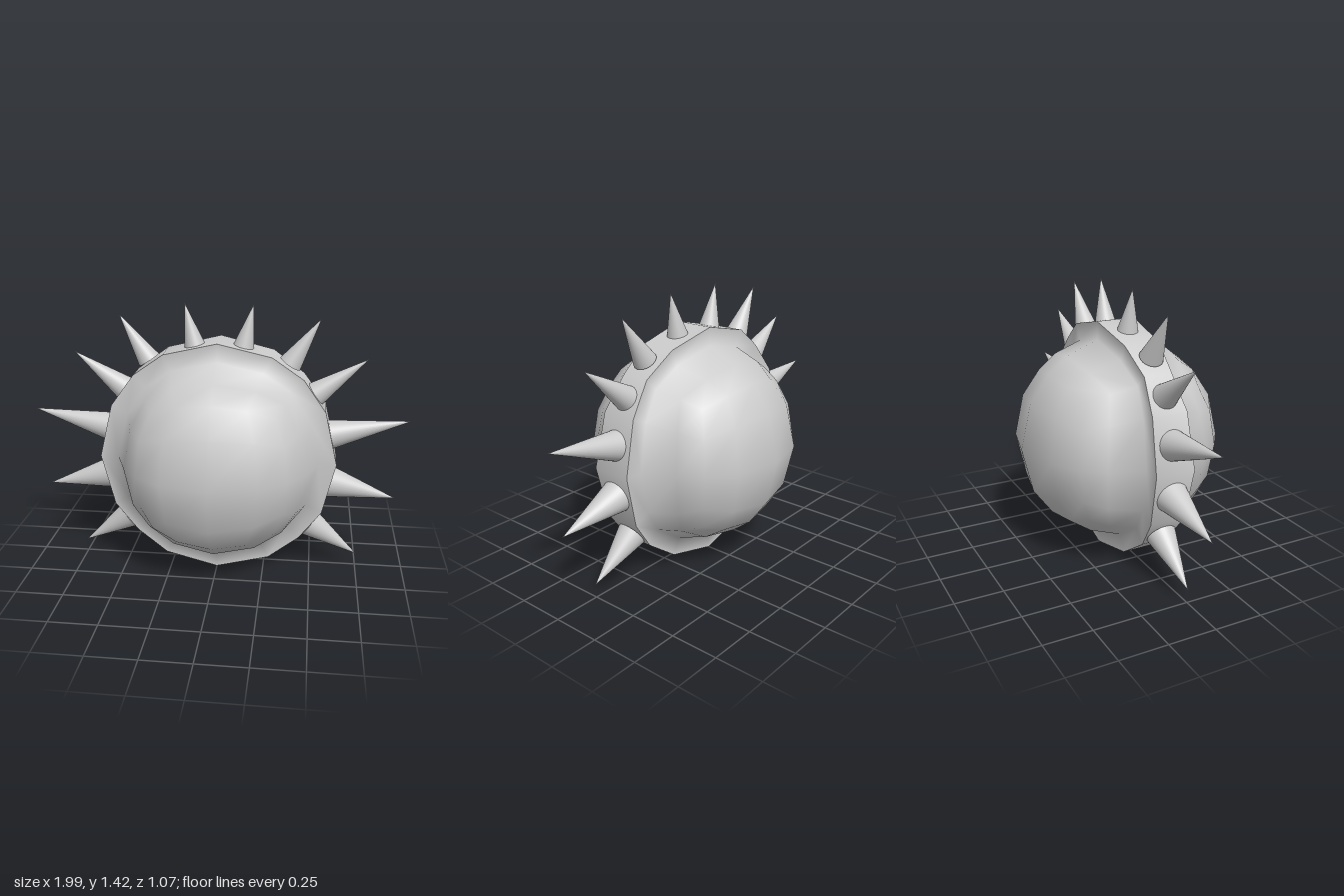
import * as THREE from 'three';
import { mergeVertices, mergeGeometries } from 'three/addons/utils/BufferGeometryUtils.js';

const R = 0.535, RIM = 0.62, CY = 0.625;
const material = new THREE.MeshStandardMaterial({ color: 0xcccccc, side: THREE.DoubleSide });

// Middle band of the ball, sampled at the sixteen cube-grid directions
const GRID = [[1, 0], [1, 0.5], [1, 1], [0.5, 1]];
const directions = [];
for (let q = 0; q < 4; q++) {
  for (const [a, b] of GRID) {
    let [x, y] = [a, b];
    for (let i = 0; i < q; i++) [x, y] = [-y, x];
    directions.push([x, y]);
  }
}

// Points of one loop: ball surface or raised rim, on the side sz = +1 or -1
function loop(sz, raised) {
  return directions.map(([x, y]) => {
    const p = new THREE.Vector3(x, y, 0.2 * sz).setLength(R);
    if (raised) {
      const k = RIM / Math.hypot(p.x, p.y);
      p.x *= k;
      p.y *= k;
    }
    return p;
  });
}

// Closed strip of quads between two loops
function strip(a, b) {
  const pos = [], index = [], n = a.length;
  for (const p of [...a, ...b]) pos.push(p.x, p.y, p.z);
  for (let i = 0; i < n; i++) {
    const j = (i + 1) % n;
    index.push(i, j, n + j, i, n + j, n + i);
  }
  const g = new THREE.BufferGeometry();
  g.setAttribute('position', new THREE.Float32BufferAttribute(pos, 3));
  g.setIndex(index);
  return g;
}

// Ball from a box grid pushed onto a sphere, joined smoothly to the rim walls
function ballGeometry() {
  const box = new THREE.BoxGeometry(2, 2, 2, 4, 4, 5);
  box.deleteAttribute('normal');
  box.deleteAttribute('uv');
  const pos = box.attributes.position, v = new THREE.Vector3();
  for (let i = 0; i < pos.count; i++) {
    v.fromBufferAttribute(pos, i).setLength(R);
    pos.setXYZ(i, v.x, v.y, v.z);
  }
  // Drop the middle strip, which the raised rim replaces
  const kept = [], idx = box.index.array;
  for (let i = 0; i < idx.length; i += 3) {
    const tri = [idx[i], idx[i + 1], idx[i + 2]];
    if (!tri.every((k) => Math.abs(pos.getZ(k)) < 0.11)) kept.push(...tri);
  }
  box.setIndex(kept);
  const front = strip(loop(1, true), loop(1, false));
  const back = strip(loop(-1, false), loop(-1, true));
  const g = mergeVertices(mergeGeometries([box, front, back]), 1e-4);
  g.computeVertexNormals();
  return g;
}

// Cone from a base centre to a tip
function spike(bx, by, tx, ty, radius) {
  const dir = new THREE.Vector3(tx - bx, ty - by, 0);
  const length = dir.length();
  const geo = new THREE.ConeGeometry(radius, length, 32);
  geo.translate(0, length / 2, 0);
  const mesh = new THREE.Mesh(geo, material);
  mesh.position.set(bx, by, 0.003);
  mesh.quaternion.setFromUnitVectors(new THREE.Vector3(0, 1, 0), dir.normalize());
  return mesh;
}

export function createModel() {
  const model = new THREE.Group();
  model.name = 'spikedBall';

  const ball = new THREE.Mesh(ballGeometry(), material);
  ball.name = 'ball';
  ball.position.y = CY;

  const bandGeo = strip(loop(-1, true), loop(1, true));
  bandGeo.computeVertexNormals();
  const band = new THREE.Mesh(bandGeo, material);
  band.name = 'rimBand';
  band.position.y = CY;
  model.add(ball, band);

  // Spikes on one side, mirrored: base x, y, tip x, y, radius
  const spikes = [
    [0.125, 1.21, 0.175, 1.43, 0.054],
    [0.365, 1.13, 0.515, 1.365, 0.06],
    [0.5, 0.975, 0.76, 1.165, 0.064],
    [0.58, 0.757, 0.995, 0.845, 0.077],
    [0.58, 0.495, 0.94, 0.412, 0.086],
    [0.49, 0.25, 0.752, 0.073, 0.077],
  ];
  for (const s of [1, -1]) {
    spikes.forEach(([bx, by, tx, ty, r], i) => {
      const mesh = spike(s * bx, by, s * tx, ty, r);
      mesh.name = (s > 0 ? 'leftSpike' : 'rightSpike') + (i + 1);
      model.add(mesh);
    });
  }
  return model;
}
